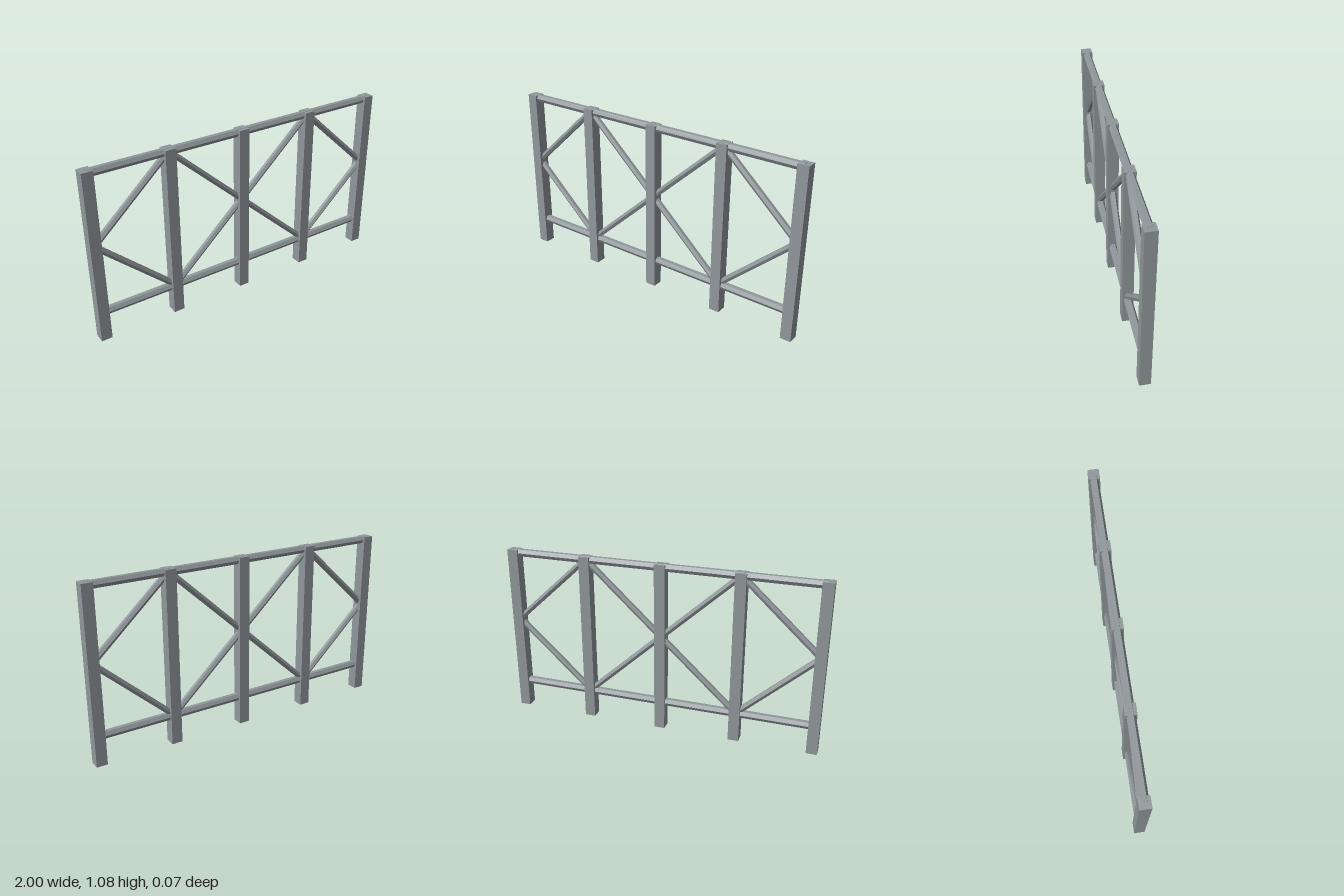
import * as THREE from 'three';

const material = new THREE.MeshStandardMaterial({ color: 0x90979a, flatShading: true });

const POST = 0.067, HEIGHT = 1.082;
const SPACING = (2 - POST) / 4;
const TOP = 1.0625, BOTTOM = 0.177, MID = (TOP + BOTTOM) / 2;
const RAIL_RADIUS = 0.025, BRACE_RADIUS = 0.02;

// Six-sided bar between two points in the fence plane
function bar(name, x1, y1, x2, y2, radius) {
  const length = Math.hypot(x2 - x1, y2 - y1);
  const mesh = new THREE.Mesh(new THREE.CylinderGeometry(radius, radius, length, 6), material);
  mesh.name = name;
  mesh.position.set((x1 + x2) / 2, (y1 + y2) / 2, 0);
  mesh.rotation.z = Math.atan2(y2 - y1, x2 - x1) - Math.PI / 2;
  return mesh;
}

export function createModel() {
  const group = new THREE.Group();
  group.name = 'fence';

  // Five square posts
  for (let i = -2; i <= 2; i++) {
    const post = new THREE.Mesh(new THREE.BoxGeometry(POST, HEIGHT, POST), material);
    post.name = 'post';
    post.position.set(i * SPACING, HEIGHT / 2, 0);
    group.add(post);
  }

  // Horizontal rails
  const end = 2 * SPACING;
  group.add(bar('topRail', -end, TOP, end, TOP, RAIL_RADIUS));
  group.add(bar('bottomRail', -end, BOTTOM, end, BOTTOM, RAIL_RADIUS));

  // Diagonal braces: a cross in the middle, half braces in the outer bays
  for (const s of [-1, 1]) {
    group.add(bar('crossBrace', -s * SPACING, BOTTOM, s * SPACING, TOP, BRACE_RADIUS));
    for (const y of [TOP, BOTTOM]) {
      group.add(bar('endBrace', s * SPACING, y, s * end, MID, BRACE_RADIUS));
    }
  }
  return group;
}
